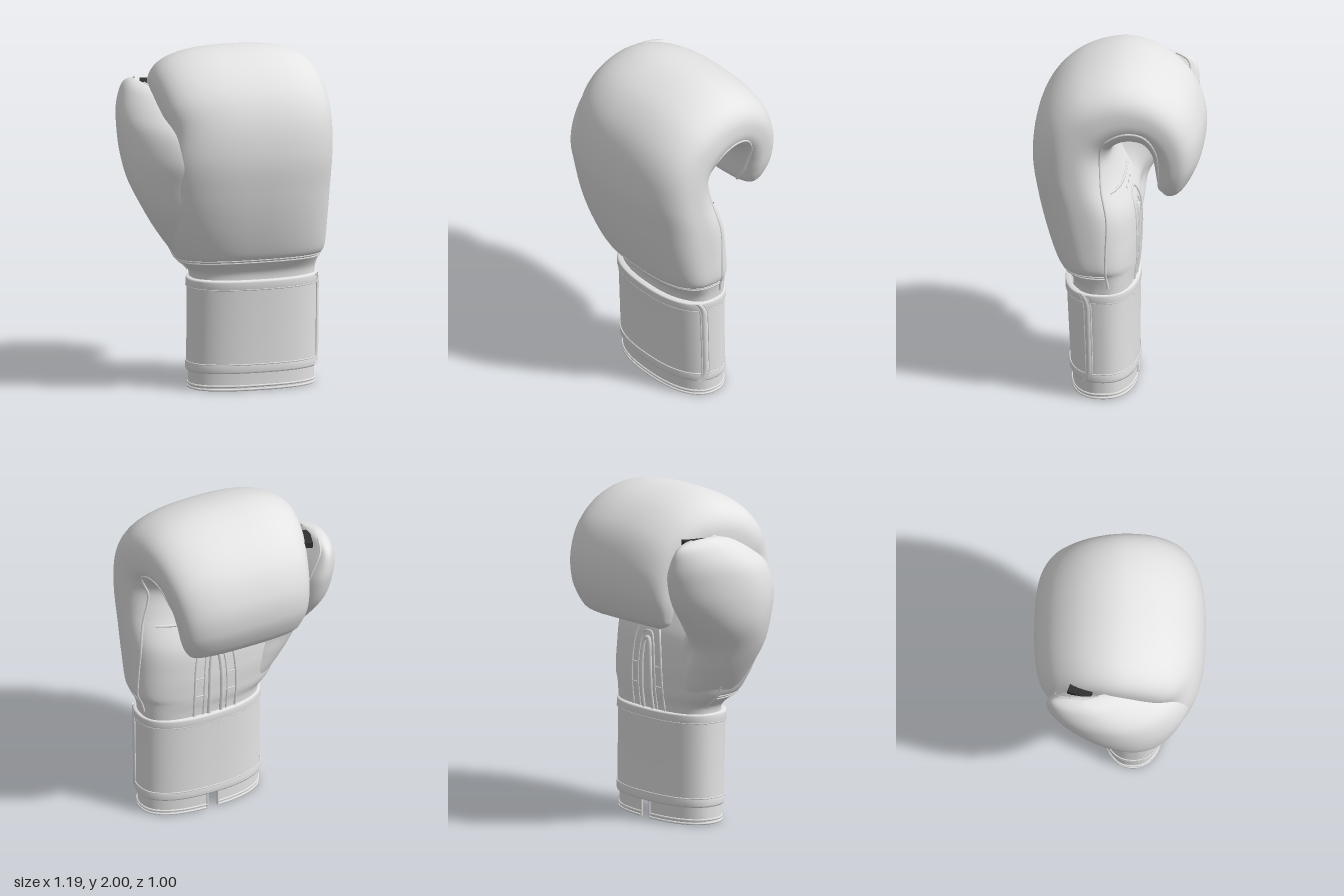
import * as THREE from 'three';

const leather = new THREE.MeshStandardMaterial({ color: 0xe4e4e4, side: THREE.DoubleSide });
leather.name = 'light grey leather';
const dark = new THREE.MeshStandardMaterial({ color: 0x303030, side: THREE.DoubleSide });
dark.name = 'dark tether';

// Smooth interpolation through rows of numbers, u in 0..rows-1
function sample(rows, u) {
  const i = Math.min(Math.floor(u), rows.length - 2), t = u - i;
  const row = k => rows[Math.max(0, Math.min(rows.length - 1, k))];
  const a = row(i - 1), b = row(i), c = row(i + 1), d = row(i + 2);
  return b.map((_, k) => b[k] + 0.5 * t * (c[k] - a[k] +
    t * (2 * a[k] - 5 * b[k] + 4 * c[k] - d[k] + t * (3 * (b[k] - c[k]) + d[k] - a[k]))));
}

// Grid surface from fn(u, v), u and v in 0..1
function surface(fn, nu, nv, closed) {
  const pos = [], idx = [], cols = closed ? nv : nv + 1;
  for (let i = 0; i <= nu; i++)
    for (let j = 0; j < cols; j++) pos.push(...fn(i / nu, j / nv).toArray());
  for (let i = 0; i < nu; i++)
    for (let j = 0; j < nv; j++) {
      const a = i * cols + j, b = i * cols + (j + 1) % cols;
      idx.push(a, b, a + cols, b, b + cols, a + cols);
    }
  const g = new THREE.BufferGeometry();
  g.setAttribute('position', new THREE.Float32BufferAttribute(pos, 3));
  g.setIndex(idx);
  g.computeVertexNormals();
  return g;
}

const power = (v, p) => Math.sign(v) * Math.pow(Math.abs(v), p);
const E = 2.6;

// Hand: outer z, outer y, inner z, inner y, min x, max x, from wrist to fingertips
const HAND = [
  [0.26, 0.62, -0.10, 0.62, -0.20, 0.54], [0.265, 0.70, -0.105, 0.70, -0.21, 0.545],
  [0.32, 0.775, -0.115, 0.76, -0.28, 0.56], [0.36, 0.83, -0.118, 0.82, -0.32, 0.585],
  [0.42, 1.00, -0.12, 0.95, -0.385, 0.59], [0.47, 1.20, -0.10, 1.12, -0.42, 0.593],
  [0.50, 1.42, -0.01, 1.30, -0.41, 0.593], [0.475, 1.64, 0.03, 1.42, -0.385, 0.593],
  [0.39, 1.81, 0.02, 1.49, -0.41, 0.59], [0.23, 1.94, -0.02, 1.53, -0.42, 0.585],
  [0.00, 2.00, -0.08, 1.545, -0.415, 0.57], [-0.22, 1.95, -0.15, 1.53, -0.385, 0.55],
  [-0.40, 1.81, -0.19, 1.47, -0.35, 0.53], [-0.485, 1.63, -0.205, 1.40, -0.33, 0.51],
  [-0.49, 1.46, -0.215, 1.33, -0.315, 0.49], [-0.445, 1.33, -0.225, 1.28, -0.29, 0.46],
  [-0.39, 1.255, -0.25, 1.245, -0.26, 0.42], [-0.315, 1.222, -0.315, 1.222, -0.19, 0.33],
];
function handAt(u, s, n) {
  const [zo, yo, zi, yi, x0, x1] = sample(HAND, u);
  return new THREE.Vector3((x0 + x1) / 2 + s * (x1 - x0) / 2,
    (yo + yi) / 2 + n * (yo - yi) / 2, (zo + zi) / 2 + n * (zo - zi) / 2);
}
const handRing = (u, a) => handAt(u, power(Math.sin(a), 2 / E), power(Math.cos(a), 2 / E));

// Point on the palm at a given x and y
function palmAt(x, y) {
  let lo = 0, hi = 9;
  for (let i = 0; i < 24; i++) {
    const m = (lo + hi) / 2;
    if (sample(HAND, m)[3] < y) lo = m; else hi = m;
  }
  const r = sample(HAND, lo), s = (x - (r[4] + r[5]) / 2) / ((r[5] - r[4]) / 2);
  return handAt(lo, s, -Math.pow(1 - Math.pow(Math.abs(s), E), 1 / E));
}

// Side seam angle at every second hand station, starting at station 1
const SEAM = [[1.75], [1.8], [2.0], [2.33], [2.0], [1.87], [2.2], [2.35], [2.4]];

// Thumb: y, centre x, centre z, half width x, half depth z
const THUMB = [
  [0.70, -0.08, 0.09, 0.10, 0.12], [0.80, -0.16, 0.11, 0.14, 0.19],
  [0.95, -0.25, 0.115, 0.165, 0.225], [1.10, -0.33, 0.12, 0.175, 0.255],
  [1.25, -0.385, 0.075, 0.185, 0.32], [1.40, -0.42, 0.03, 0.175, 0.385],
  [1.55, -0.44, -0.025, 0.155, 0.385], [1.65, -0.455, -0.09, 0.122, 0.325],
  [1.74, -0.465, -0.16, 0.068, 0.23], [1.78, -0.46, -0.19, 0.035, 0.12],
  [1.793, -0.455, -0.20, 0.001, 0.001],
];
// Crescent section: both ends bend inward, the front end more
function thumbRing(u, a) {
  const [y, cx, cz, rx, rz] = sample(THUMB, u), c = Math.cos(a);
  const bend = (c > 0 ? 0.3 : 0.12) * rz * c * c;
  return new THREE.Vector3(cx + rx * Math.sin(a) + bend, y, cz + rz * c);
}

// Wrist oval, grown outward by d
function wrist(a, y, d = 0) {
  const k = THREE.MathUtils.clamp((y - 0.1) / 0.56, 0, 1);
  return new THREE.Vector3(0.167 + (0.375 + d) * power(Math.sin(a), 0.85), y,
    0.078 + 0.012 * k + (0.186 + 0.015 * k + d) * power(Math.cos(a), 0.85));
}

export function createModel() {
  const group = new THREE.Group();
  const add = (name, geo, mat = leather) => {
    const m = new THREE.Mesh(geo, mat);
    m.name = name;
    group.add(m);
    return m;
  };
  const pipe = (name, pts, r = 0.006, closed = false) => add(name, new THREE.TubeGeometry(
    new THREE.CatmullRomCurve3(pts, closed), pts.length * 4, r, 6, closed));
  const steps = (n, f) => Array.from({ length: n + 1 }, (_, i) => f(i / n));
  const TAU = Math.PI * 2, top = HAND.length - 1;

  // Padded hand and thumb
  add('hand', surface((u, v) => handRing(u * top, v * TAU), 136, 96, true));
  add('thumb', surface((u, v) => thumbRing(u * (THUMB.length - 1), v * TAU), 70, 64, true));

  // Web of leather between thumb and palm
  add('thumbWeb', surface((u, v) => {
    const edge = thumbRing(1 + u * 4.6, 2.6);
    return edge.clone().lerp(palmAt(-0.12 - 0.06 * u, Math.min(edge.y, 1.5)), v);
  }, 30, 8, false));

  // Side seams along the curl, thumb seams, and hem lines above the wrist
  for (const side of [1, -1])
    pipe('sideSeam', steps(60, t => handRing(1 + t * 15.3, side * sample(SEAM, t * 7.65)[0])), 0.008);
  pipe('thumbSeam', steps(24, t => thumbRing(1.5 + t * 7.7, 2.6)), 0.007);
  pipe('thumbInnerSeam', steps(24, t => thumbRing(5.8 + t * 3.4, 0.6)), 0.008);
  for (const u of [1.95, 2.25])
    pipe('hemLine', steps(32, t => handRing(u, -1.75 + t * 3.5)), 0.006);

  // Palm closure: nested loops, cross stitches, seam and vent holes
  const loop = (half, peak, r) => pipe('palmLoop', steps(28, t => {
    const a = Math.PI * t, k = Math.sin(a);
    return palmAt(0.15 - half * power(Math.cos(a), 0.6), 0.66 + (peak - 0.66) * Math.pow(k, 0.6));
  }), r);
  loop(0.04, 1.08, 0.012);
  loop(0.075, 1.12, 0.006);
  loop(0.135, 1.18, 0.008);
  for (const side of [-1, 1])
    for (const y of [0.8, 0.92])
      pipe('crossStitch', steps(4, t => palmAt(0.15 + side * (0.07 + 0.06 * t), y)), 0.004);
  pipe('palmSeam', steps(16, t => palmAt(-0.05 + 0.52 * t, 1.26)), 0.009);
  for (const x of [0.07, 0.15, 0.23]) {
    const ring = add('ventHole', new THREE.TorusGeometry(0.009, 0.004, 6, 14));
    ring.position.copy(palmAt(x, 1.215));
  }

  // Open liner below the strap, slit at the back
  const gap = 0.06;
  const slit = t => Math.PI + gap + t * (TAU - 2 * gap);
  add('liner', surface((u, v) => wrist(slit(v), 0.008 + u * 0.6), 12, 96, false));
  for (const y of [0.009, 0.03])
    pipe('linerHem', steps(60, t => wrist(slit(t), y, 0.002)), 0.007);
  for (const t of [0, 1])
    pipe('slitEdge', steps(4, k => wrist(slit(t), 0.01 + k * 0.1, 0.002)), 0.007);

  // Wrist strap with rolled edges
  const strapRows = [[0.105, 0], [0.108, 0.013], [0.118, 0.017], [0.155, 0.017], [0.16, 0.011],
    [0.605, 0.011], [0.61, 0.017], [0.65, 0.017], [0.66, 0.013], [0.662, -0.015]];
  add('strap', surface((u, v) => {
    const [y, d] = strapRows[Math.round(u * (strapRows.length - 1))];
    return wrist(v * TAU, y, d);
  }, strapRows.length - 1, 96, true));

  // Strap end: bound flap lapped over the front, with rounded corners
  const flapEnd = y => {
    const k = Math.max(0, Math.abs(y - 0.383) - 0.18) / 0.1;
    return 1.42 - 0.24 * (1 - Math.sqrt(Math.max(0, 1 - k * k)));
  };
  add('flapBinding', surface((u, v) => {
    const y = 0.108 + u * 0.55;
    return wrist(flapEnd(y) - 0.19 * (1 - v), y, 0.014 + 0.009 * Math.sin(Math.PI * v));
  }, 40, 8, false));
  for (const off of [0, 0.19])
    pipe('flapStitch', steps(30, t => {
      const y = 0.112 + 0.542 * t;
      return wrist(flapEnd(y) - off, y, 0.014);
    }), 0.005);
  for (const y of [0.16, 0.608])
    pipe('strapStitch', steps(48, t => wrist(t * TAU, y, 0.015)).slice(0, -1), 0.004, true);

  // Dark tether bridging the gap between thumb and fingers
  const tether = add('thumbTether', new THREE.BoxGeometry(0.06, 0.035, 0.14), dark);
  tether.position.set(-0.387, 1.76, -0.22);
  tether.rotation.y = -0.33;

  return group;
}
